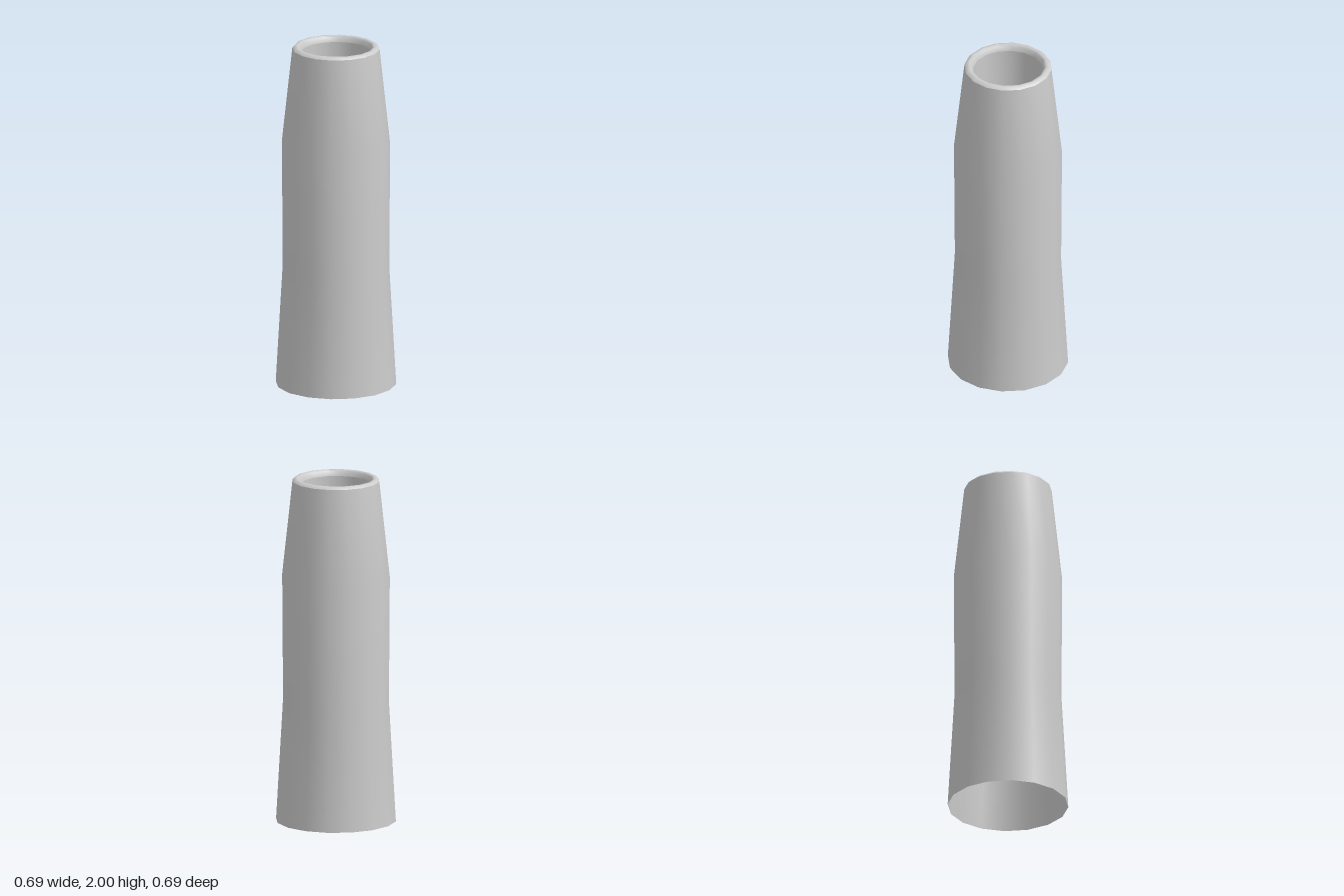
import * as THREE from 'three';

const SIDES = 16;

// Smooth turned surface from [radius, height] pairs
function turned(name, profile) {
  const points = profile.map(([r, y]) => new THREE.Vector2(r, y));
  const material = new THREE.MeshStandardMaterial({ color: 0xcccccc, side: THREE.DoubleSide });
  const mesh = new THREE.Mesh(new THREE.LatheGeometry(points, SIDES), material);
  mesh.name = name;
  return mesh;
}

export function createModel() {
  const model = new THREE.Group();
  model.name = 'taperedTube';

  // Outer wall, open underneath: flared foot, straight waist, tapered neck
  model.add(turned('outerWall', [[0.345, 0], [0.305, 0.7], [0.31, 1.43], [0.25, 1.985]]));

  // Thin rounded lip around the mouth
  model.add(turned('rim', [[0.25, 1.985], [0.238, 1.997], [0.222, 2], [0.208, 1.992], [0.2, 1.965]]));

  // Bore running down from the lip to a closed, softly dished floor
  model.add(turned('bore', [[0.2, 1.965], [0.2, 1.25], [0.17, 1.16], [0.1, 1.1], [0, 1.08]]));

  return model;
}
